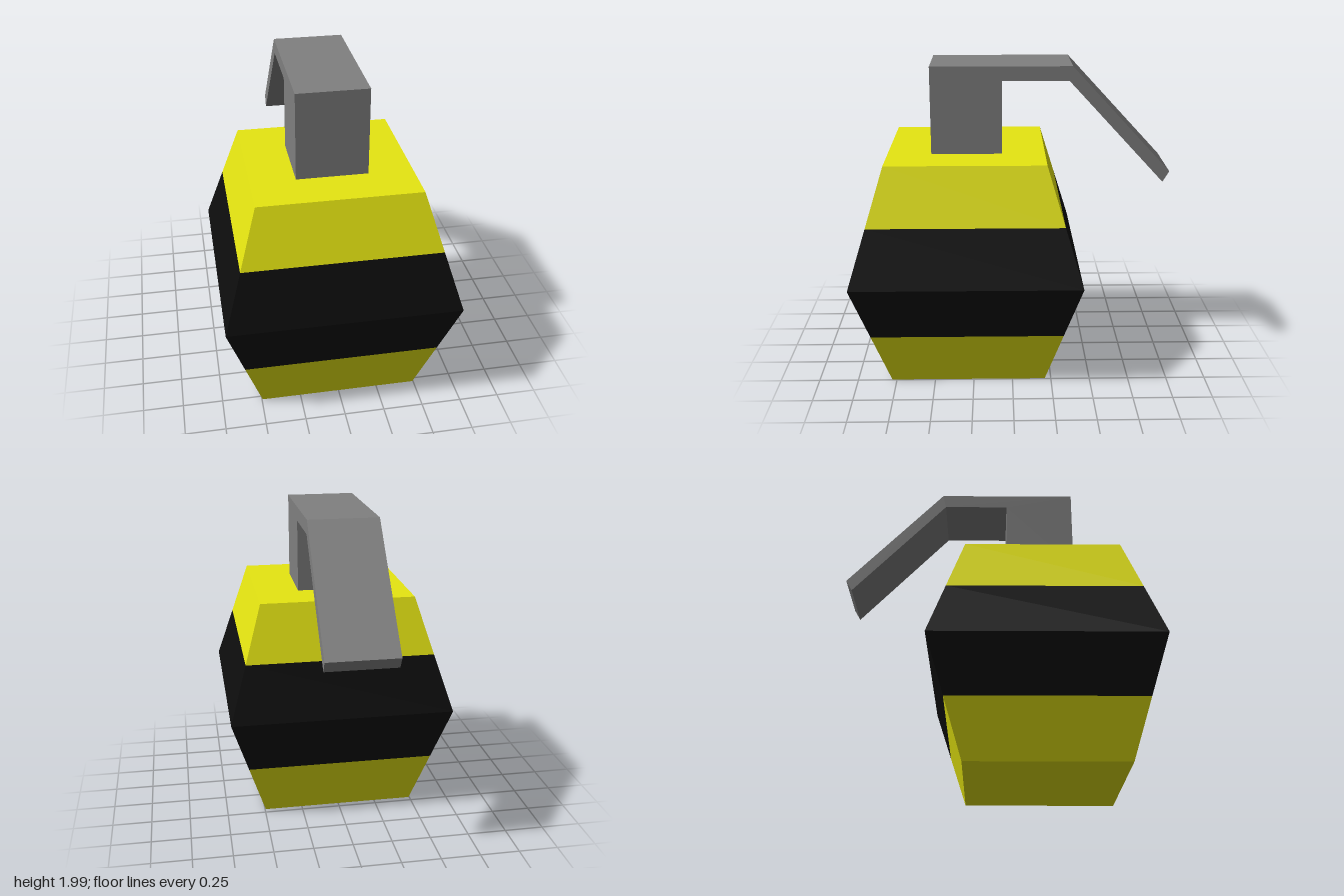
import * as THREE from 'three';

const paint = (color) => new THREE.MeshStandardMaterial({ color, flatShading: true });

export function createModel() {
  const model = new THREE.Group();
  const yellow = paint(0xe6e611);
  const black = paint(0x0d0d0d);
  const grey = paint(0x808080);

  // Four-sided band from [half width, height] pairs, listed bottom to top
  const addBand = (name, material, profile) => {
    const points = profile.map(([half, y]) => new THREE.Vector2(half * Math.SQRT2, y));
    const band = new THREE.Mesh(new THREE.LatheGeometry(points, 4, Math.PI / 4), material);
    band.name = name;
    band.position.z = 0.285;
    model.add(band);
  };

  // Faceted square body; the yellow ends are closed by flat caps
  addBand('bodyBottom', yellow, [[0, 0], [0.495, 0], [0.605, 0.36]]);
  addBand('bodyMiddleBand', black, [[0.605, 0.36], [0.715, 0.72], [0.605, 1.08]]);
  addBand('bodyTop', yellow, [[0.605, 1.08], [0.495, 1.44], [0, 1.44]]);

  // Neck and bent lever: one side profile (z, y) extruded across the width
  const profile = [
    [0.505, 1.44], [0.505, 1.99], [-0.375, 1.99], [-1, 1.32],
    [-0.96, 1.25], [-0.355, 1.9], [0.06, 1.9], [0.06, 1.44],
  ];
  const shape = new THREE.Shape(profile.map(([z, y]) => new THREE.Vector2(z, y)));
  const width = 0.44;
  const geometry = new THREE.ExtrudeGeometry(shape, { depth: width, bevelEnabled: false });
  geometry.translate(0, 0, -width / 2).rotateY(-Math.PI / 2);
  const lever = new THREE.Mesh(geometry, grey);
  lever.name = 'neckAndLever';
  model.add(lever);

  return model;
}
